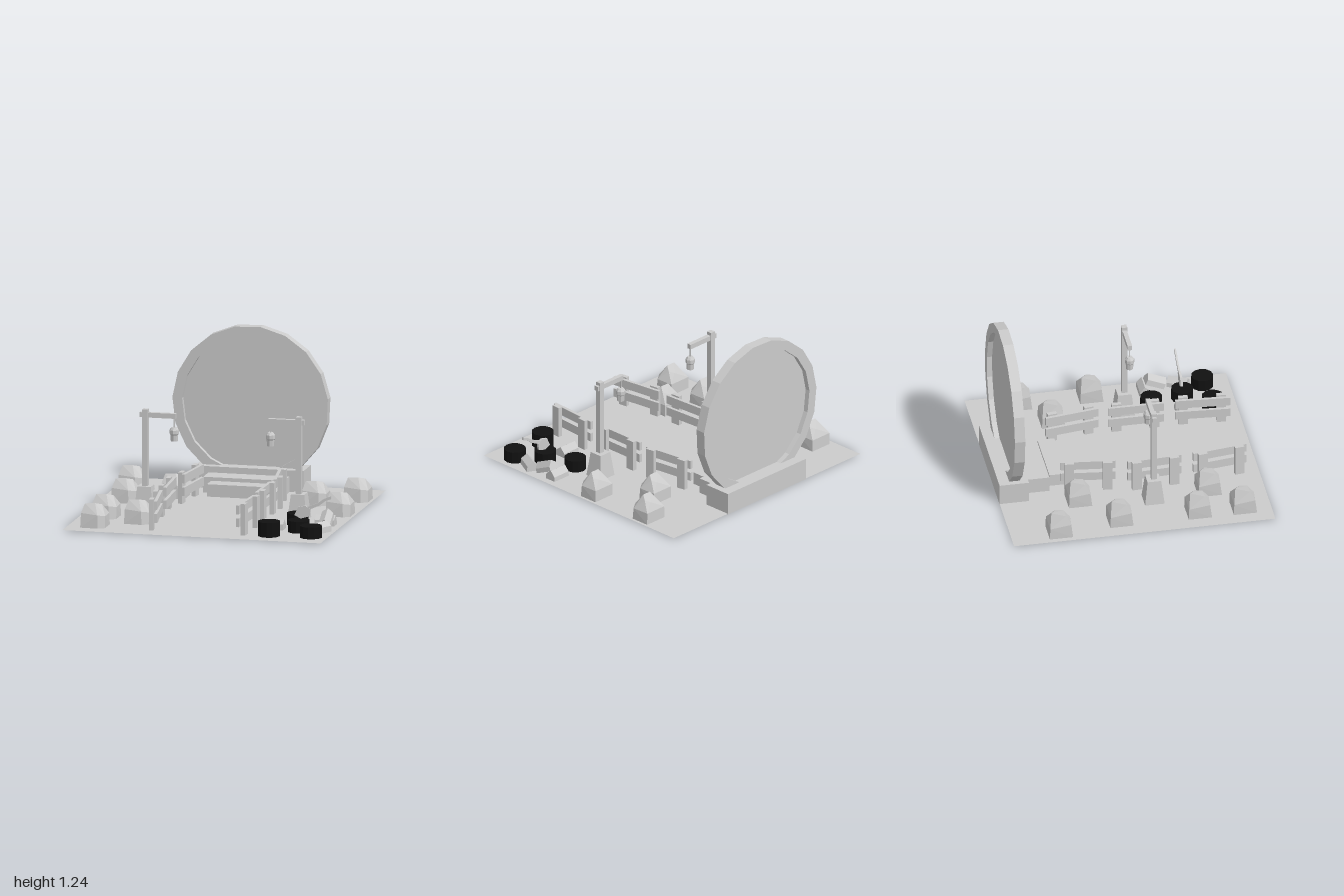
import * as THREE from 'three';
import { ConvexGeometry } from 'three/addons/geometries/ConvexGeometry.js';

const grey = new THREE.MeshStandardMaterial({ color: 0xcccccc, flatShading: true, side: THREE.DoubleSide });
const black = new THREE.MeshStandardMaterial({ color: 0x111111, flatShading: true });

function add(parent, name, geometry, x = 0, y = 0, z = 0, material = grey) {
  const mesh = new THREE.Mesh(geometry, material);
  mesh.name = name;
  mesh.position.set(x, y, z);
  parent.add(mesh);
  return mesh;
}

function group(parent, name, x = 0, y = 0, z = 0) {
  const g = new THREE.Group();
  g.name = name;
  g.position.set(x, y, z);
  parent.add(g);
  return g;
}

const box = (w, h, d) => new THREE.BoxGeometry(w, h, d);
const v2 = (pairs) => pairs.map(([x, y]) => new THREE.Vector2(x, y));

// Ring of stone blocks around a flat disc
function portal(root) {
  const g = group(root, 'portal', -0.008, 0.645, -0.88);
  const blocks = 19, start = THREE.MathUtils.degToRad(7.5);
  const section = v2([[0.53, -0.04], [0.605, -0.04], [0.605, 0.04], [0.53, 0.04], [0.53, -0.04]]);
  add(g, 'stoneRing', new THREE.LatheGeometry(section, blocks, start).rotateX(-Math.PI / 2));
  add(g, 'portalDisc', new THREE.CircleGeometry(0.535, blocks, Math.PI / 2 - start));
}

// Two rails with two posts on the outer side
function fence(root, x0, z0, x1, z1) {
  const dx = x1 - x0, dz = z1 - z0;
  const g = group(root, 'fencePanel', (x0 + x1) / 2, 0, (z0 + z1) / 2);
  g.rotation.y = Math.atan2(dx, dz);
  const length = Math.hypot(dx, dz);
  for (const y of [0.11, 0.208]) add(g, 'fenceRail', box(0.024, 0.067, length), 0, y, 0);
  for (const s of [-1, 1]) {
    add(g, 'fencePost', box(0.034, 0.24, 0.072), Math.sign(x0) * 0.035, 0.13, s * 0.145);
  }
}

// Hanging lantern on a post with a tapered foot; side is +1 or -1
function lampPost(root, x, side) {
  const g = group(root, 'lampPost', x, 0, 0.145);
  const r = Math.SQRT2;
  add(g, 'lampFoot', new THREE.CylinderGeometry(0.052 * r, 0.075 * r, 0.195, 4).rotateY(Math.PI / 4), 0, 0.1, 0);
  add(g, 'lampPole', box(0.042, 0.59, 0.042), 0, 0.49, 0.004);
  add(g, 'lampArm', box(0.278, 0.038, 0.034), -side * 0.097, 0.742, 0.004);
  const lamp = group(g, 'lantern', -side * 0.222, 0, 0.004);
  add(lamp, 'lanternCord', box(0.007, 0.08, 0.007), 0, 0.69, 0);
  const profile = v2([[0, 0.55], [0.027, 0.55], [0.03, 0.598], [0.036, 0.606], [0.036, 0.635], [0.022, 0.655], [0, 0.655]]);
  add(lamp, 'lanternBody', new THREE.LatheGeometry(profile, 8));
}

// Faceted boulder from a few corner points
function rockGeometry() {
  const points = [
    [-0.093, 0, -0.093], [0.093, 0, -0.093], [0.093, 0, 0.06], [0.045, 0, 0.093], [-0.093, 0, 0.085],
    [-0.093, 0.09, -0.09], [0.088, 0.09, -0.09], [0.093, 0.09, 0.05], [0.04, 0.1, 0.085], [-0.09, 0.11, 0.07],
    [0.025, 0.155, -0.06], [0.05, 0.165, -0.025], [0.01, 0.182, 0.03], [-0.068, 0.178, 0.035],
  ];
  return new ConvexGeometry(points.map((p) => new THREE.Vector3(...p)));
}

// Extruded outline centred on its depth
function slab(pairs, depth) {
  const geometry = new THREE.ExtrudeGeometry(new THREE.Shape(v2(pairs)), { depth, bevelEnabled: false });
  return geometry.translate(0, 0, -depth / 2);
}

// Axe stuck in the chopping stump
function axe(root) {
  const g = group(root, 'axe', 0, 0, 0.607);
  add(g, 'axeHead', slab([[0.70, 0.13], [0.75, 0.105], [0.815, 0.125], [0.825, 0.178], [0.785, 0.205], [0.73, 0.192]], 0.018));
  add(g, 'axeHandle', slab([
    [0.75, 0.165], [0.82, 0.178], [0.895, 0.212], [0.94, 0.248], [0.985, 0.265],
    [0.983, 0.287], [0.93, 0.265], [0.885, 0.232], [0.81, 0.2], [0.745, 0.185],
  ], 0.014));
}

export function createModel() {
  const root = new THREE.Group();
  root.name = 'portalYard';

  add(root, 'ground', new THREE.PlaneGeometry(2, 2).rotateX(-Math.PI / 2), 0, 0.005, 0);

  // Plinth and steps
  add(root, 'plinth', box(0.84, 0.17, 0.225), 0, 0.085, -0.888);
  add(root, 'upperStep', box(0.626, 0.125, 0.168), 0, 0.0625, -0.683);
  add(root, 'lowerStep', box(0.485, 0.1, 0.13), -0.005, 0.05, -0.522);
  portal(root);

  // Fences along the path
  const panels = [
    [0.31, -0.51, 0.37, -0.10], [0.355, -0.02, 0.352, 0.40], [0.36, 0.49, 0.332, 0.905],
    [-0.295, -0.51, -0.342, -0.10], [-0.383, -0.015, -0.358, 0.40], [-0.363, 0.49, -0.303, 0.905],
  ];
  for (const p of panels) fence(root, ...p);

  lampPost(root, 0.62, 1);
  lampPost(root, -0.57, -1);

  // Boulders
  const rock = rockGeometry();
  const rocks = [
    [-0.868, -0.625], [-0.48, -0.405], [-0.80, -0.15], [-0.80, 0.45], [-0.515, 0.58],
    [-0.80, 0.795], [0.885, -0.605], [0.61, -0.405], [0.885, -0.06],
  ];
  for (const [x, z] of rocks) add(root, 'rock', rock, x, 0.005, z);

  // Dark stumps
  const stumps = [[0.665, 0.365, 0.09], [0.735, 0.615, 0.09], [0.555, 0.815, 0.112], [0.875, 0.795, 0.09]];
  for (const [x, z, h] of stumps) {
    add(root, 'stump', new THREE.CylinderGeometry(0.084, 0.084, h, 12), x, 0.005 + h / 2, z, black);
  }
  axe(root);

  // Split firewood, lying along its local z
  const log = slab([[-0.046, 0], [0.046, 0], [0.043, 0.035], [0.005, 0.078], [-0.042, 0.045]], 0.152);
  const logs = [
    [0.538, 0.008, 0.575, 0, Math.PI / 2], [0.875, 0.008, 0.348, 0, Math.PI / 2],
    [0.9, 0.045, 0.425, 0.42, 0.05], [0.902, 0.008, 0.615, 0, -0.48 + Math.PI],
  ];
  for (const [x, y, z, tilt, turn] of logs) {
    add(root, 'splitLog', log, x, y, z).rotation.set(tilt, turn, 0, 'YXZ');
  }
  return root;
}
